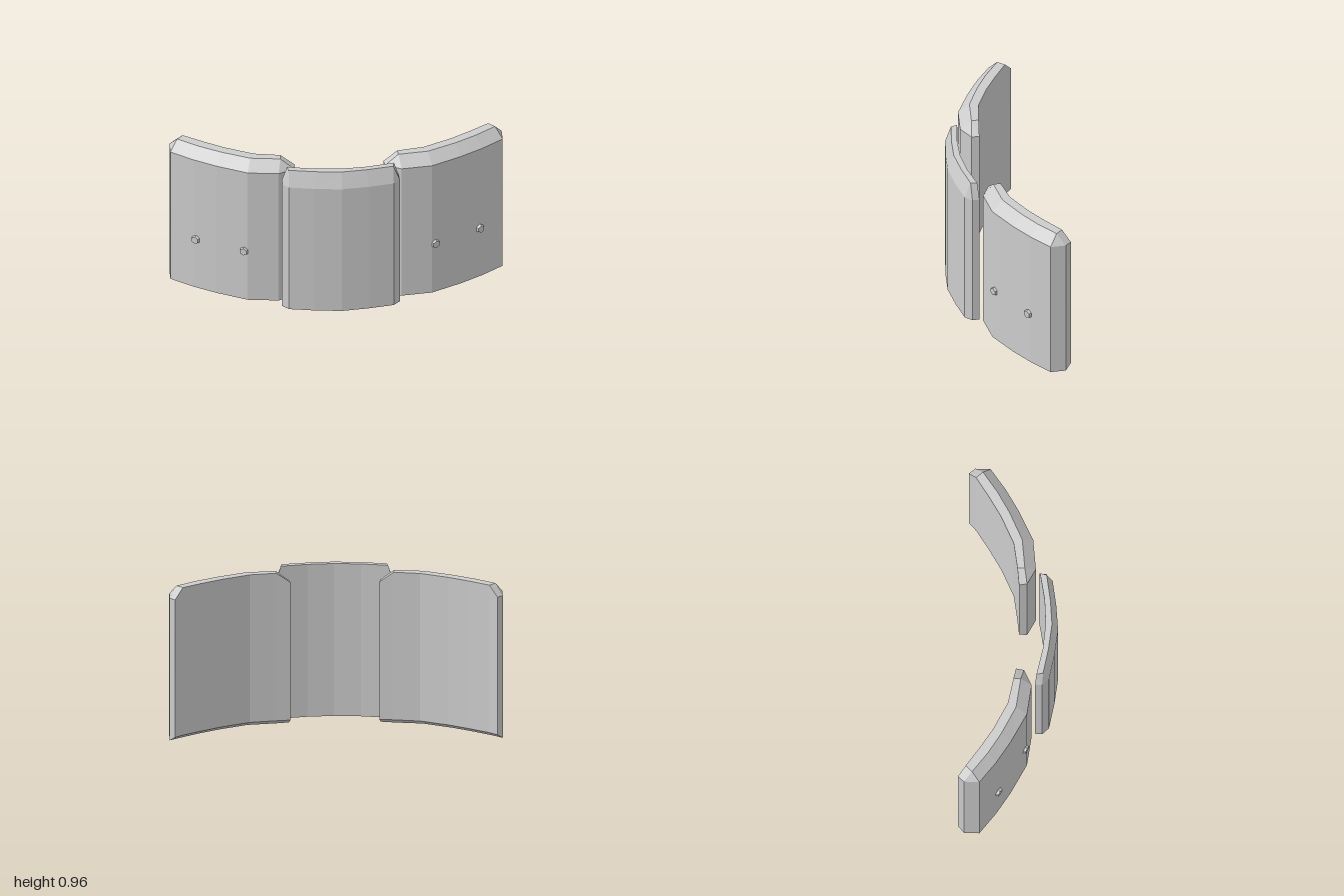
import * as THREE from 'three';

const TOP = 0.96;

// Each station is [front, crest, back] as [x, z] pairs, ordered along +x.
// The first and last stations are the chamfered ends, where crest = front.
function plateGeometry(stations, shoulder, heel) {
  const last = stations.length - 1;
  const rings = stations.map(([f, m, b], i) => {
    const end = i === 0 || i === last;
    const k = heel > 0 ? (end ? 1 : 0.38) : 0;
    const n = [b[0] + (f[0] - b[0]) * k, b[1] + (f[1] - b[1]) * k];
    const top = end ? shoulder : TOP;
    const at = (p, y) => new THREE.Vector3(p[0], y, p[1]);
    return [at(f, 0), at(f, shoulder), at(m, top), at(b, top), at(b, heel), at(n, 0)];
  });
  const pos = [];
  const tri = (a, b, c) => {
    const area = b.clone().sub(a).cross(c.clone().sub(a)).length();
    if (area > 1e-7) for (const p of [a, b, c]) pos.push(p.x, p.y, p.z);
  };
  // Skin between neighbouring stations
  for (let i = 0; i < last; i++) {
    for (let k = 0; k < 6; k++) {
      const j = (k + 1) % 6, A = rings[i], B = rings[i + 1];
      tri(A[k], B[k], B[j]);
      tri(A[k], B[j], A[j]);
    }
  }
  // End caps
  for (let k = 1; k < 5; k++) {
    tri(rings[0][0], rings[0][k], rings[0][k + 1]);
    tri(rings[last][0], rings[last][k + 1], rings[last][k]);
  }
  const g = new THREE.BufferGeometry();
  g.setAttribute('position', new THREE.Float32BufferAttribute(pos, 3));
  g.computeVertexNormals();
  return g;
}

const mirror = (stations) =>
  stations.map((s) => s.map(([x, z]) => [-x, z])).reverse();

export function createModel() {
  const model = new THREE.Group();
  const grey = new THREE.MeshStandardMaterial({ color: 0xcccccc });
  grey.name = 'light grey';

  const add = (name, geometry) => {
    const mesh = new THREE.Mesh(geometry, grey);
    mesh.name = name;
    model.add(mesh);
    return mesh;
  };

  // Centre plate, bowed forward
  const half = [
    [[0.16, 0.267], [0.155, 0.232], [0.16, 0.197]],
    [[0.315, 0.24], [0.315, 0.204], [0.322, 0.165]],
    [[0.355, 0.2], [0.355, 0.2], [0.353, 0.157]],
  ];
  const middle = [[[0, 0.284], [0, 0.247], [0, 0.209]]];
  add('centrePlate', plateGeometry([...mirror(half), ...middle, ...half], 0.86, 0));

  // Side plates, curving back towards the outer ends
  const side = [
    [[0.275, 0.088], [0.275, 0.088], [0.267, 0.04]],
    [[0.37, 0.138], [0.355, 0.072], [0.352, 0.028]],
    [[0.555, 0.116], [0.535, 0.05], [0.51, 0]],
    [[0.735, 0.025], [0.707, -0.033], [0.68, -0.083]],
    [[0.87, -0.058], [0.835, -0.11], [0.8, -0.158]],
    [[1, -0.155], [0.957, -0.2], [0.92, -0.24]],
    [[1, -0.248], [1, -0.248], [0.968, -0.285]],
  ];
  add('leftPlate', plateGeometry(side, 0.897, 0.03));
  add('rightPlate', plateGeometry(mirror(side), 0.897, 0.03));

  // Hexagonal bolts on the side plates
  const boltGeometry = new THREE.CylinderGeometry(0.024, 0.03, 0.022, 6).toNonIndexed();
  boltGeometry.rotateX(Math.PI / 2);
  boltGeometry.computeVertexNormals();
  for (const s of [1, -1]) {
    for (const [x, z, turn] of [[0.577, 0.109, 0.45], [0.857, -0.043, 0.58]]) {
      const bolt = add(s > 0 ? 'leftBolt' : 'rightBolt', boltGeometry);
      bolt.position.set(s * x, 0.34, z);
      bolt.rotation.y = s * turn;
    }
  }
  return model;
}
